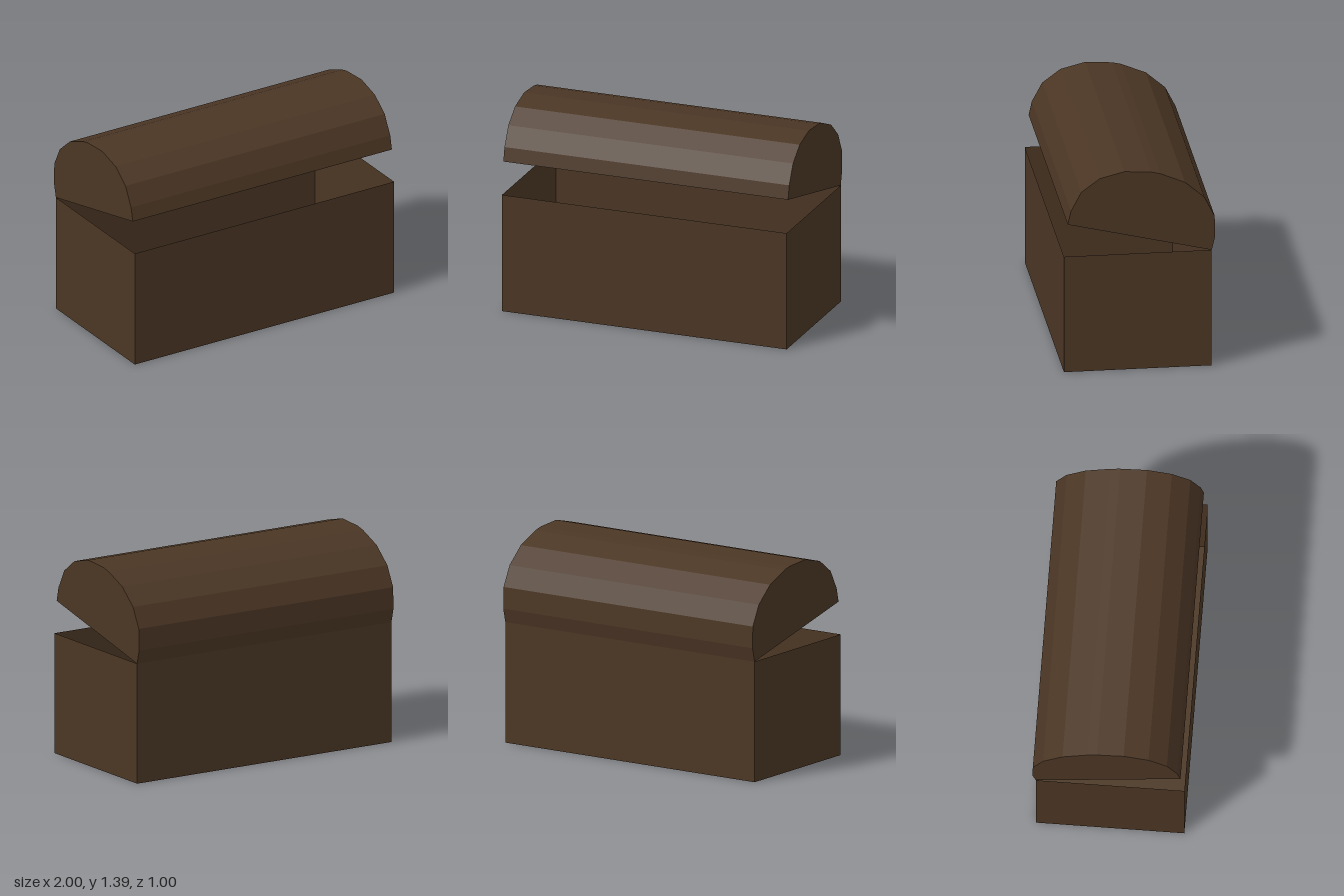
import * as THREE from 'three';

const WIDTH = 2, HEIGHT = 0.81, FRONT = 0.5, BACK = -0.475;

const darkWood = new THREE.MeshStandardMaterial({ color: 0x4b3624, side: THREE.DoubleSide });
darkWood.name = 'darkWood';

function addPart(parent, name, geometry) {
  const mesh = new THREE.Mesh(geometry, darkWood);
  mesh.name = name;
  parent.add(mesh);
  return mesh;
}

// Thin-walled box with its top face left out
function openBox() {
  const geo = new THREE.BoxGeometry(WIDTH, HEIGHT, FRONT - BACK);
  const index = Array.from(geo.index.array);
  index.splice(12, 6);
  geo.setIndex(index);
  geo.clearGroups();
  return geo.translate(0, HEIGHT / 2, (FRONT + BACK) / 2);
}

// Arched lid section, measured from the hinge: x runs forward, y up
function lidProfile() {
  const r = 0.488;
  const half = [[r, 0], [0.489, 0.096], [0.452, 0.237], [0.355, 0.352], [0.206, 0.43], [0.031, 0.459]];
  const mirrored = half.map(([u, v]) => [-u, v]).reverse();
  return [...half, ...mirrored].map(([u, v]) => new THREE.Vector2(u + r, v));
}

// Flat facets running the full width along the profile
function archShell(profile) {
  const pos = [], w = WIDTH / 2;
  for (let i = 0; i < profile.length - 1; i++) {
    const a = profile[i], b = profile[i + 1];
    pos.push(-w, a.y, a.x, w, a.y, a.x, w, b.y, b.x);
    pos.push(-w, a.y, a.x, w, b.y, b.x, -w, b.y, b.x);
  }
  const geo = new THREE.BufferGeometry();
  geo.setAttribute('position', new THREE.Float32BufferAttribute(pos, 3));
  geo.computeVertexNormals();
  return geo;
}

export function createModel() {
  const chest = new THREE.Group();
  chest.name = 'chest';
  addPart(chest, 'chestBox', openBox());

  // Hollow lid, tilted open about the back top edge
  const lid = new THREE.Group();
  lid.name = 'lid';
  lid.position.set(0, HEIGHT, BACK);
  lid.rotation.x = -0.232;
  chest.add(lid);

  const profile = lidProfile();
  addPart(lid, 'lidArch', archShell(profile));
  for (const [name, side] of [['lidEndLeft', 1], ['lidEndRight', -1]]) {
    const cap = new THREE.ShapeGeometry(new THREE.Shape(profile));
    addPart(lid, name, cap.rotateY(-Math.PI / 2).translate(side * WIDTH / 2, 0, 0));
  }
  return chest;
}
